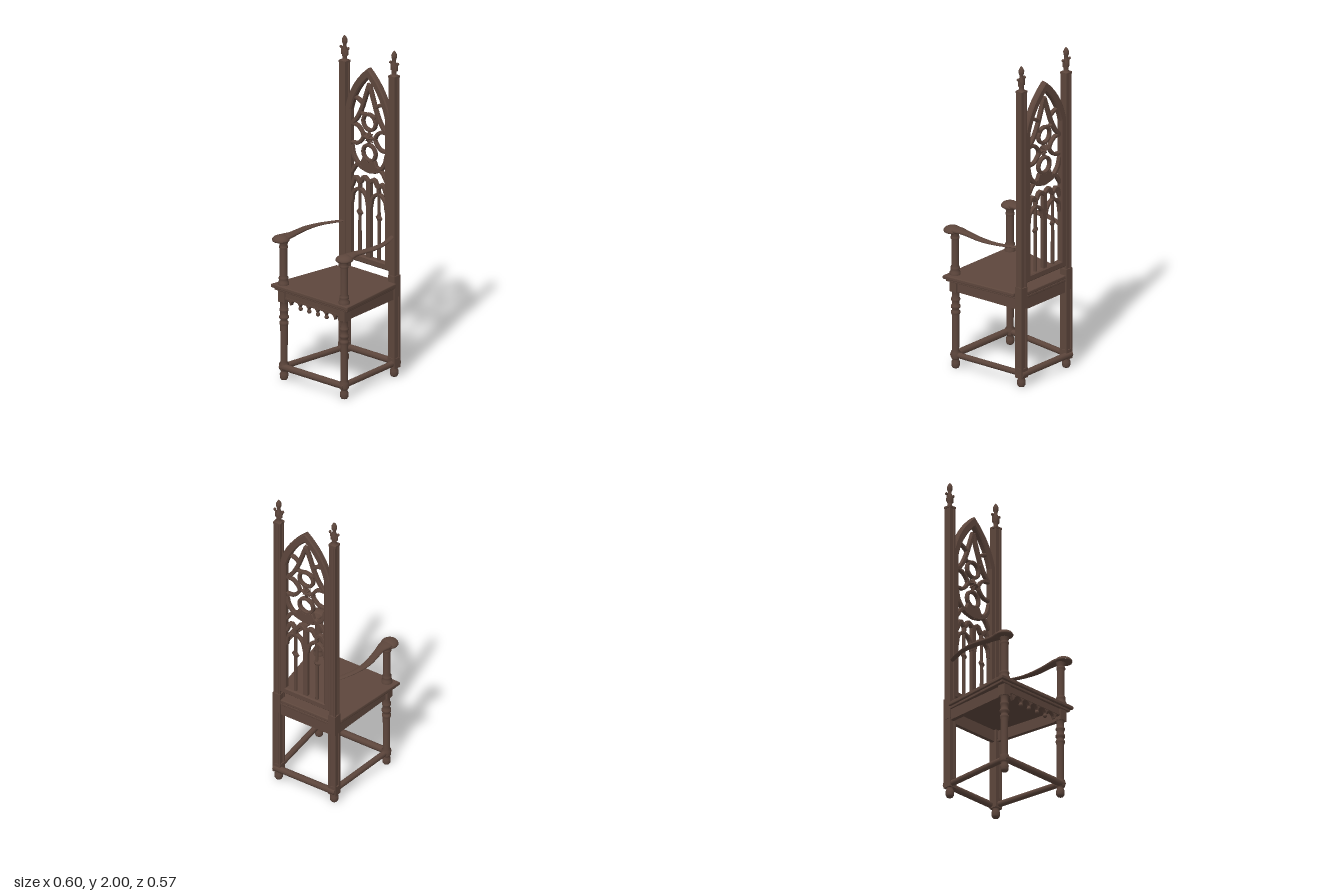
import * as THREE from 'three';

const wood = new THREE.MeshStandardMaterial({ color: 0x5d463c });
wood.name = 'dark walnut';

const V2 = (x, y) => new THREE.Vector2(x, y);

export function createModel() {
  const root = new THREE.Group();
  root.name = 'highBackChair';

  const add = (name, geo, x = 0, y = 0, z = 0, parent = root) => {
    const m = new THREE.Mesh(geo, wood);
    m.name = name;
    m.position.set(x, y, z);
    parent.add(m);
    return m;
  };
  const box = (name, w, h, d, x, y, z) => add(name, new THREE.BoxGeometry(w, h, d), x, y, z);
  const lathe = (name, pts, x, y, z) =>
    add(name, new THREE.LatheGeometry(pts.map(p => V2(p[0], p[1])), 16), x, y, z);

  // Extrudes a shape along z, centred on z, with a softened edge
  const carve = (name, shape, depth, z, bevel = 0.005, parent = root) => add(name,
    new THREE.ExtrudeGeometry(shape, {
      depth: depth - 2 * bevel, bevelThickness: bevel, bevelSize: bevel,
      bevelOffset: -bevel, bevelSegments: 1, curveSegments: 14,
    }), 0, 0, z - depth / 2 + bevel, parent);

  // Horizontal slab from an outline of [x, z] points
  const slab = (name, pts, y0, y1, bevel) => {
    const g = new THREE.ExtrudeGeometry(new THREE.Shape(pts.map(p => V2(p[0], -p[1]))), {
      depth: y1 - y0 - 2 * bevel, bevelThickness: bevel, bevelSize: bevel,
      bevelOffset: -bevel, bevelSegments: 2,
    });
    g.rotateX(-Math.PI / 2);
    return add(name, g, 0, y0 + bevel, 0);
  };

  // Straight bar between two points on the floor plan
  const rail = (name, a, b, y, h, w, round) => {
    const len = Math.hypot(b[0] - a[0], b[1] - a[1]);
    const g = round ? new THREE.CylinderGeometry(h / 2, h / 2, len, 8).rotateX(Math.PI / 2)
      : new THREE.BoxGeometry(w, h, len);
    add(name, g, (a[0] + b[0]) / 2, y, (a[1] + b[1]) / 2)
      .rotation.y = Math.atan2(b[0] - a[0], b[1] - a[1]);
  };

  // ---- Seat
  const plan = i => [[-0.3 + i, 0.265 - i], [0.3 - i, 0.265 - i], [0.233 - i, -0.224], [0.17, -0.224],
    [0.17, -0.268], [-0.17, -0.268], [-0.17, -0.224], [-0.233 + i, -0.224]];
  slab('seat', plan(0), 0.56, 0.583, 0.005);
  slab('seatMoulding', plan(0.014), 0.545, 0.562, 0.004);

  // ---- Scalloped front apron with small pendants
  const apron = new THREE.Shape([V2(0.225, 0.5), V2(0.225, 0.55), V2(-0.225, 0.55), V2(-0.225, 0.5)]);
  apron.lineTo(-0.19, 0.5);
  apron.lineTo(-0.175, 0.47);
  for (let i = 0; i < 5; i++) {
    const x = -0.17 + i * 0.068;
    apron.lineTo(x, 0.472);
    apron.bezierCurveTo(x + 0.008, 0.512, x + 0.06, 0.512, x + 0.068, 0.472);
  }
  apron.lineTo(0.175, 0.47);
  apron.lineTo(0.19, 0.5);
  carve('frontApron', apron, 0.026, 0.226, 0.003);
  for (const x of [-0.102, -0.034, 0.034, 0.102])
    add('apronPendant', new THREE.SphereGeometry(0.013, 10, 8), x, 0.467, 0.226);
  box('apronBead', 0.43, 0.01, 0.034, 0, 0.508, 0.226);
  box('backApron', 0.36, 0.07, 0.025, 0, 0.51, -0.25);

  // ---- Stretchers at the feet
  rail('frontStretcher', [-0.25, 0.232], [0.25, 0.232], 0.078, 0.042, 0, true);
  rail('backStretcher', [-0.215, -0.266], [0.215, -0.266], 0.08, 0.04, 0, true);

  // Cross-section of the back posts, a square with a groove on every face
  const postShape = (r, g, d) => {
    const pts = [];
    for (let i = 0; i < 4; i++) {
      const a = i * Math.PI / 2;
      for (const [x, y] of [[r, -r], [r, -g], [r - d, -g * 0.6], [r - d, g * 0.6], [r, g]])
        pts.push(V2(x * Math.cos(a) - y * Math.sin(a), x * Math.sin(a) + y * Math.cos(a)));
    }
    return new THREE.Shape(pts);
  };
  const post = (name, r, y0, y1, x) => add(name,
    new THREE.ExtrudeGeometry(postShape(r, r * 0.55, 0.005), { depth: y1 - y0, bevelEnabled: false })
      .rotateX(-Math.PI / 2), x, y0, -0.249);

  const foot = [[0, 0], [0.018, 0], [0.024, 0.01], [0.025, 0.035], [0.018, 0.05], [0.024, 0.058]];
  const frontLeg = [...foot, [0.028, 0.065], [0.028, 0.098], [0.021, 0.108], [0.022, 0.33],
    [0.027, 0.34], [0.027, 0.352], [0.021, 0.358], [0.021, 0.37], [0.028, 0.376], [0.028, 0.388],
    [0.022, 0.395], [0.022, 0.415], [0.027, 0.422], [0.027, 0.432], [0.022, 0.44], [0.022, 0.47],
    [0.028, 0.48]];
  const armPost = [[0.032, 0.58], [0.032, 0.598], [0.025, 0.606], [0.028, 0.618], [0.028, 0.628],
    [0.022, 0.638], [0.022, 0.8], [0.026, 0.808], [0.026, 0.818], [0.022, 0.826], [0.03, 0.852]];
  const finial = [[0.024, 0], [0.024, 0.006], [0.014, 0.012], [0.014, 0.03], [0.018, 0.045],
    [0.018, 0.07], [0.011, 0.09], [0.011, 0.105], [0.016, 0.115], [0.017, 0.132], [0.009, 0.15], [0, 0.16]];

  // Armrest stations, front to back: z, inner x, outer x, bottom y, top y
  const stations = [[0.255, 0.215, 0.285, 0.852, 0.878], [0.2, 0.207, 0.288, 0.852, 0.882],
    [0.15, 0.216, 0.274, 0.853, 0.881], [0.1, 0.226, 0.276, 0.854, 0.879], [0, 0.237, 0.284, 0.855, 0.875],
    [-0.1, 0.231, 0.267, 0.856, 0.871], [-0.17, 0.205, 0.242, 0.857, 0.868], [-0.235, 0.178, 0.212, 0.857, 0.866]];
  const armGeometry = s => {
    const N = 12, low = [], high = [];
    for (const [z, xi, xo, yb, yt] of stations) {
      low.push(new THREE.Vector3(xi, yb, z));
      high.push(new THREE.Vector3(xo, yt, z));
    }
    const A = new THREE.CatmullRomCurve3(low), B = new THREE.CatmullRomCurve3(high);
    const pos = [], idx = [], M = 28;
    for (let i = 0; i <= M; i++) {
      const a = A.getPoint(i / M), b = B.getPoint(i / M);
      for (let j = 0; j < N; j++) {
        const t = j / N * Math.PI * 2;
        pos.push(s * (a.x + b.x) / 2 + (b.x - a.x) / 2 * Math.cos(t),
          (a.y + b.y) / 2 + (b.y - a.y) / 2 * Math.sin(t), a.z);
        if (i < M) {
          const p = i * N + j, q = i * N + (j + 1) % N;
          idx.push(p, p + N, q, q, p + N, q + N);
        }
      }
    }
    const g = new THREE.BufferGeometry();
    g.setAttribute('position', new THREE.Float32BufferAttribute(pos, 3));
    g.setIndex(idx);
    g.computeVertexNormals();
    return g;
  };

  for (const s of [-1, 1]) {
    // ---- Front legs and arms
    lathe('frontLeg', frontLeg, s * 0.236, 0, 0.222);
    box('frontLegBlock', 0.052, 0.072, 0.05, s * 0.236, 0.513, 0.222);
    lathe('armPost', armPost, s * 0.238, 0, 0.224);
    add('armrest', armGeometry(s));
    add('armKnob', new THREE.SphereGeometry(0.052, 20, 8, 0, Math.PI * 2, 0, Math.PI / 2)
      .scale(1, 0.55, 1), s * 0.249, 0.857, 0.235);
    lathe('armKnobUnderside', [[0, 0], [0.035, 0], [0.05, 0.004], [0.052, 0.009]], s * 0.249, 0.848, 0.235);

    // ---- Back posts, thicker below the arms
    lathe('backFoot', foot, s * 0.194, 0, -0.249);
    post('backLeg', 0.0255, 0.058, 0.62, s * 0.194);
    post('backPost', 0.0225, 0.62, 1.835, s * 0.194);
    box('postCap', 0.05, 0.012, 0.048, s * 0.194, 1.84, -0.249);
    box('postFootBlock', 0.054, 0.06, 0.052, s * 0.194, 0.085, -0.249);
    box('postSeatBlock', 0.05, 0.13, 0.052, s * 0.194, 0.555, -0.249);

    // ---- Leafy finials
    lathe('finial', finial, s * 0.194, 1.84, -0.249);
    for (const k of [-1, 1]) {
      add('finialLeaf', new THREE.ConeGeometry(0.014, 0.055, 8), s * 0.194 + k * 0.02, 1.907, -0.249)
        .rotation.z = -k * 0.35;
      add('finialLeafTip', new THREE.SphereGeometry(0.009, 8, 6), s * 0.194 + k * 0.028, 1.922, -0.249);
      add('finialBudLeaf', new THREE.ConeGeometry(0.008, 0.03, 6), s * 0.194 + k * 0.012, 1.965, -0.249)
        .rotation.z = -k * 0.3;
    }

    // ---- Side rails
    rail('sideApron', [s * 0.236, 0.215], [s * 0.198, -0.24], 0.513, 0.068, 0.026);
    rail('sideStretcher', [s * 0.236, 0.222], [s * 0.196, -0.249], 0.08, 0.036, 0, true);
  }

  // ---- Pointed back frame
  const back = new THREE.Group();
  back.name = 'tracedBack';
  root.add(back);
  const Z = -0.25;
  const arch = (P, w, y0, y1, cx, cy, top) => {
    P.moveTo(-w, y0);
    P.lineTo(w, y0);
    P.lineTo(w, y1);
    P.quadraticCurveTo(cx, cy, 0, top);
    P.quadraticCurveTo(-cx, cy, -w, y1);
    P.lineTo(-w, y0);
    return P;
  };
  const frame = arch(new THREE.Shape(), 0.176, 0.64, 1.57, 0.14, 1.73, 1.845);
  frame.holes.push(arch(new THREE.Path(), 0.133, 0.682, 1.56, 0.1, 1.69, 1.782));
  carve('backFrame', frame, 0.04, Z, 0.007, back);

  // Curved strip of tracery through a few points, mirrored to both sides
  const strip = (name, pts, w) => {
    for (const s of [-1, 1]) {
      const c = new THREE.CatmullRomCurve3(pts.map(p => new THREE.Vector3(s * p[0], p[1], 0)));
      const L = [], R = [], n = pts.length > 2 ? 14 : 1;
      for (let i = 0; i <= n; i++) {
        const p = c.getPoint(i / n), t = c.getTangent(i / n);
        L.push(V2(p.x - t.y * w / 2, p.y + t.x * w / 2));
        R.unshift(V2(p.x + t.y * w / 2, p.y - t.x * w / 2));
      }
      carve(name, new THREE.Shape([...L, ...R]), 0.026, Z, 0.004, back);
    }
  };
  const ring = (name, x, y, r, w) => {
    const sh = new THREE.Shape().absarc(x, y, r + w / 2, 0, Math.PI * 2);
    sh.holes.push(new THREE.Path().absarc(x, y, r - w / 2, 0, Math.PI * 2, true));
    carve(name, sh, 0.026, Z, 0.004, back);
  };

  // ---- Lancet bars and arches
  add('centreBar', new THREE.BoxGeometry(0.03, 0.48, 0.024), 0, 0.91, Z, back);
  for (const s of [-1, 1]) {
    add('lancetBar', new THREE.CylinderGeometry(0.009, 0.011, 0.41, 8), s * 0.075, 0.88, Z, back);
    add('lancetBoss', new THREE.OctahedronGeometry(0.034).scale(0.8, 1.1, 0.45), s * 0.075, 0.94, Z, back);
  }
  strip('lancetArch', [[0.136, 0.99], [0.122, 1.055], [0.075, 1.085], [0.028, 1.055], [0.01, 0.99]], 0.02);
  strip('cuspedArch', [[0.136, 1.09], [0.105, 1.15], [0.07, 1.125], [0.04, 1.165], [0, 1.14]], 0.024);
  strip('cuspLink', [[0.075, 1.08], [0.072, 1.13]], 0.02);

  // ---- Rose of four rings with a flower at its heart
  ring('roseTopRing', 0, 1.51, 0.048, 0.019);
  ring('roseBottomRing', 0, 1.322, 0.048, 0.019);
  strip('roseSideLobe', [[0.135, 1.475], [0.085, 1.468], [0.045, 1.416], [0.085, 1.364], [0.135, 1.357]], 0.02);
  strip('roseLowerArc', [[0.138, 1.34], [0.118, 1.275], [0.07, 1.228], [0, 1.21]], 0.024);
  strip('roseBrace', [[0.138, 1.172], [0.1, 1.225], [0.06, 1.245]], 0.022);
  carve('roseShield', new THREE.Shape([V2(-0.07, 1.235), V2(0, 1.2), V2(0.07, 1.235), V2(0.048, 1.285),
    V2(0, 1.27), V2(-0.048, 1.285)]), 0.026, Z, 0.004, back);
  for (let i = 0; i < 4; i++) {
    const long = i % 2 === 0;
    add('flowerPetal', new THREE.OctahedronGeometry(1).scale(long ? 0.066 : 0.042, 0.02, 0.024),
      0, 1.416, -0.247, back).rotation.z = i * Math.PI / 4;
  }
  add('flowerHeart', new THREE.SphereGeometry(0.014, 10, 8), 0, 1.416, -0.236, back);

  // ---- Spire above the rose
  strip('spire', [[0, 1.745], [0.03, 1.66], [0.062, 1.575], [0.095, 1.515], [0.136, 1.47]], 0.024);
  strip('spireBrace', [[0.048, 1.61], [0.075, 1.63], [0.115, 1.645]], 0.02);
  strip('spireCusp', [[0.07, 1.565], [0.045, 1.55], [0.025, 1.555]], 0.018);

  return root;
}
